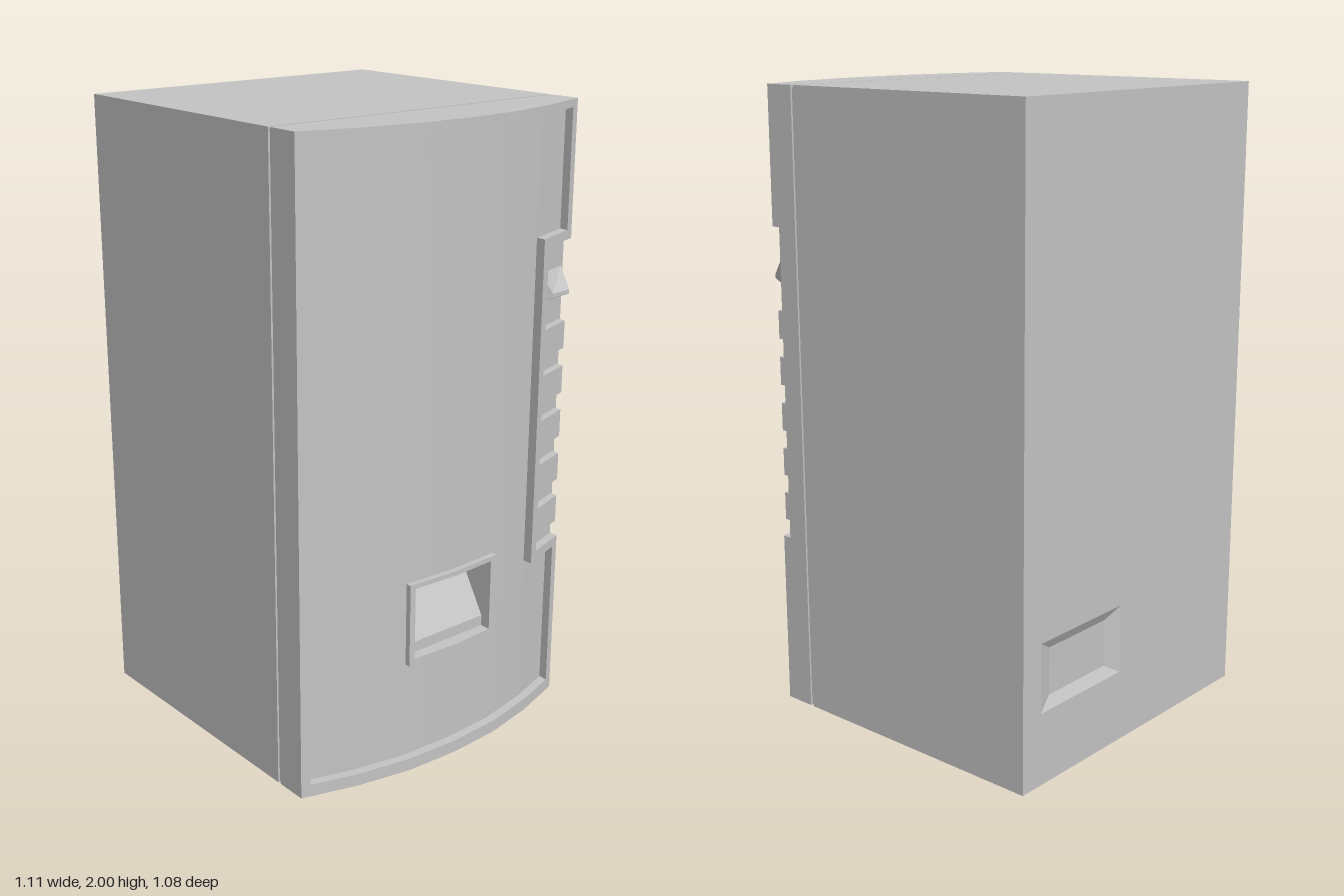
import * as THREE from 'three';
import { toCreasedNormals } from 'three/addons/utils/BufferGeometryUtils.js';

// Plan curve of the bowed door: [z, x]
const CURVE = [[-0.54, 0.455], [-0.36, 0.51], [-0.18, 0.545], [0, 0.555], [0.18, 0.545], [0.36, 0.51], [0.54, 0.455]];
const BACK = 0.352;

function curveX(z) {
  for (let i = 1; i < CURVE.length; i++) {
    const [za, xa] = CURVE[i - 1], [zb, xb] = CURVE[i];
    if (z <= zb) return xa + (xb - xa) * (z - za) / (zb - za);
  }
  return CURVE[CURVE.length - 1][1];
}

// Upright block whose outer face follows the door curve, sunk by "off"
function slab(z0, z1, y0, y1, off) {
  const zs = [z0, ...CURVE.map(p => p[0]).filter(z => z > z0 + 1e-4 && z < z1 - 1e-4), z1];
  const pts = [[BACK, z0], ...zs.map(z => [curveX(z) - off, z]), [BACK, z1]];
  const shape = new THREE.Shape(pts.map(([x, z]) => new THREE.Vector2(x, -z)));
  const geo = new THREE.ExtrudeGeometry(shape, { depth: y1 - y0, bevelEnabled: false });
  geo.rotateX(-Math.PI / 2).translate(0, y0, 0);
  return toCreasedNormals(geo, 0.5);
}

// Four-sided loft from one ring to another, capped at the second ring
function taper(a, b) {
  const pos = [];
  const quad = (p, q, r, s) => pos.push(...p, ...q, ...r, ...p, ...r, ...s);
  for (let i = 0; i < 4; i++) {
    const j = (i + 1) % 4;
    quad(a[i], a[j], b[j], b[i]);
  }
  quad(...b);
  const geo = new THREE.BufferGeometry();
  geo.setAttribute('position', new THREE.Float32BufferAttribute(pos, 3));
  geo.computeVertexNormals();
  return geo;
}

// Rectangle ring, anticlockwise as seen from +x; x is a function of z
const ring = (z0, z1, y0, y1, x) =>
  [[z1, y0], [z0, y0], [z0, y1], [z1, y1]].map(([z, y]) => [x(z), y, z]);

export function createModel() {
  const model = new THREE.Group();
  const grey = new THREE.MeshStandardMaterial({ color: 0xc4c4c4, side: THREE.DoubleSide });
  const add = (name, geo, parent = model) => {
    const mesh = new THREE.Mesh(geo, grey);
    mesh.name = name;
    parent.add(mesh);
    return mesh;
  };
  const group = name => {
    const g = new THREE.Group();
    g.name = name;
    model.add(g);
    return g;
  };

  // Cabinet, with a shallow port in its rear plate
  const cabinet = group('cabinet');
  add('cabinetBody', new THREE.BoxGeometry(0.875, 2, 1.08).translate(-0.0975, 1, 0), cabinet);
  const rear = new THREE.Shape([[-0.54, 0], [0.54, 0], [0.54, 2], [-0.54, 2]].map(p => new THREE.Vector2(...p)));
  rear.holes.push(new THREE.Path([[-0.46, 0.23], [-0.46, 0.45], [-0.075, 0.45], [-0.075, 0.23]].map(p => new THREE.Vector2(...p))));
  const rearGeo = new THREE.ExtrudeGeometry(rear, { depth: 0.02, bevelEnabled: false });
  add('rearPlate', rearGeo.rotateY(-Math.PI / 2).translate(-0.535, 0, 0), cabinet);
  add('rearPort', taper(
    ring(-0.46, -0.075, 0.23, 0.45, () => -0.555).reverse(),
    ring(-0.40, -0.135, 0.265, 0.415, () => -0.537).reverse()), cabinet);
  add('doorSeal', new THREE.BoxGeometry(0.014, 1.988, 1.068).translate(0.346, 1, 0), cabinet);

  // Raised rim around the door
  const rim = group('doorRim');
  [[-0.54, 0.54, 1.975, 2], [-0.54, 0.54, 0, 0.04], [0.512, 0.54, 0.04, 1.975],
    [-0.54, -0.512, 0.04, 0.535], [-0.54, -0.512, 1.6, 1.975]]
    .forEach(r => add('rimBar', slab(...r, 0), rim));

  // Sunken front panel, left open at the hatch and the keypad
  const panel = group('frontPanel');
  [[0.16, 0.512, 0.04, 1.975], [-0.155, 0.16, 0.04, 0.375], [-0.155, 0.16, 0.61, 1.975],
    [-0.36, -0.155, 0.04, 1.975], [-0.512, -0.36, 0.04, 0.535], [-0.512, -0.36, 1.6, 1.975]]
    .forEach(r => add('panelPart', slab(...r, 0.03), panel));

  // Delivery hatch: frame and sloping chute
  const hatch = group('deliveryHatch');
  [[-0.18, 0.18, 0.61, 0.625], [-0.18, 0.18, 0.355, 0.375],
    [0.16, 0.18, 0.375, 0.61], [-0.18, -0.155, 0.375, 0.61]]
    .forEach(r => add('hatchFrame', slab(...r, 0.012), hatch));
  const chute = new THREE.Shape([[BACK, 0.375], [0.5, 0.375], [0.5, 0.41], [0.38, 0.61], [BACK, 0.61]]
    .map(p => new THREE.Vector2(...p)));
  add('chute', new THREE.ExtrudeGeometry(chute, { depth: 0.315, bevelEnabled: false }).translate(0, 0, -0.155), hatch);

  // Keypad recess, open towards the side of the door
  const keypad = group('keypad');
  add('keypadFloor', slab(-0.54, -0.39, 0.565, 1.57, 0.03), keypad);
  add('keypadSideBar', slab(-0.39, -0.36, 0.535, 1.6, -0.003), keypad);
  add('keypadTopBar', slab(-0.54, -0.39, 1.57, 1.6, 0), keypad);
  add('keypadBottomBar', slab(-0.54, -0.39, 0.535, 0.565, 0), keypad);
  for (let i = 0; i < 5; i++) {
    const y = 0.665 + i * 0.149;
    add('button', slab(-0.53, -0.398, y - 0.045, y + 0.045, 0.004), keypad);
  }

  // Coin slot wedge, sloping out towards its lower edge
  add('coinSlot', taper(
    ring(-0.528, -0.402, 1.39, 1.48, z => curveX(z) - 0.03),
    ring(-0.51, -0.43, 1.402, 1.416, z => 0.484 + (z + 0.51) * 0.08)), keypad);

  return model;
}
